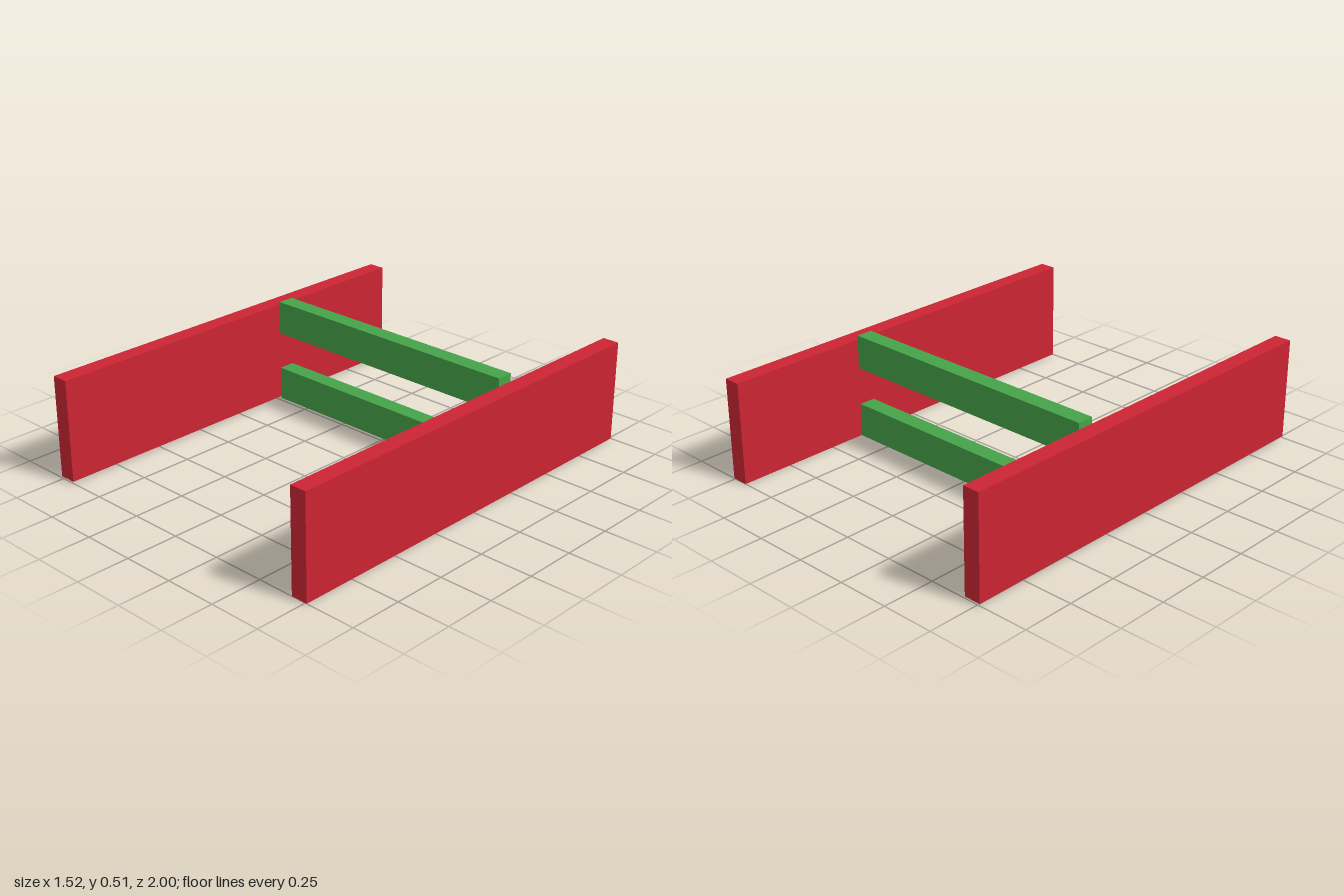
import * as THREE from 'three';

export function createModel() {
  const model = new THREE.Group();
  const red = new THREE.MeshStandardMaterial({ color: 0xcc2433 });
  const green = new THREE.MeshStandardMaterial({ color: 0x46a349 });

  // Box given by its size, with its base centred at (x, y, z)
  function board(name, material, [w, h, d], [x, y, z]) {
    const mesh = new THREE.Mesh(new THREE.BoxGeometry(w, h, d), material);
    mesh.name = name;
    mesh.position.set(x, y + h / 2, z);
    model.add(mesh);
  }

  // Long side panels, the right one sitting slightly higher
  const panel = [0.08, 0.48, 2];
  board('leftPanel', red, panel, [0.718, 0, 0]);
  board('rightPanel', red, panel, [-0.721, 0.008, 0]);

  // Two crossbars, with a narrow gap to each panel
  const bar = [1.33, 0.16, 0.08];
  board('lowerCrossbar', green, bar, [-0.002, 0.008, -0.296]);
  board('upperCrossbar', green, bar, [-0.002, 0.348, -0.296]);

  return model;
}
